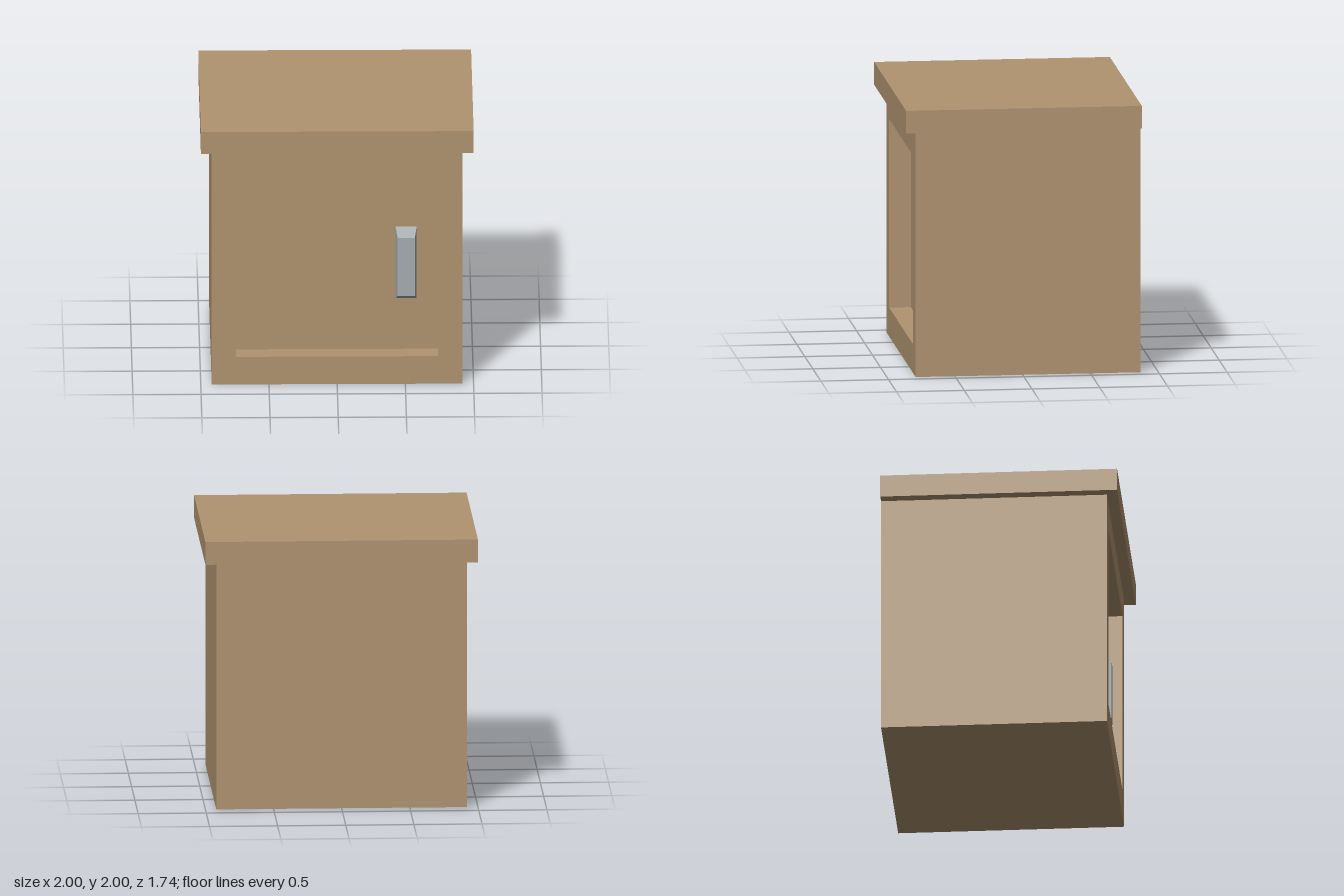
import * as THREE from 'three';

const wood = new THREE.MeshStandardMaterial({ color: 0xb09370 });
wood.name = 'wood';
const metal = new THREE.MeshStandardMaterial({ color: 0xa5acb0 });
metal.name = 'metal';

const BACK = -0.87, FRONT = 0.79, DOOR = 0.63; // z of back, frame front and recessed door
const HALF = 0.92, LID_Y = 1.83;

// Box given by its lower and upper corners
function box(name, material, [x0, y0, z0], [x1, y1, z1]) {
  const geometry = new THREE.BoxGeometry(x1 - x0, y1 - y0, z1 - z0);
  geometry.translate((x0 + x1) / 2, (y0 + y1) / 2, (z0 + z1) / 2);
  const mesh = new THREE.Mesh(geometry, material);
  mesh.name = name;
  return mesh;
}

function rectangle(PathType, x0, y0, x1, y1) {
  const path = new PathType();
  path.moveTo(x0, y0).lineTo(x1, y0).lineTo(x1, y1).lineTo(x0, y1).closePath();
  return path;
}

// Frame around the recessed door
function createFrame() {
  const shape = rectangle(THREE.Shape, -HALF, 0, HALF, LID_Y);
  shape.holes.push(rectangle(THREE.Path, -0.74, 0.215, 0.74, 1.62));
  const geometry = new THREE.ExtrudeGeometry(shape, { depth: FRONT - DOOR, bevelEnabled: false });
  geometry.translate(0, 0, DOOR);
  const mesh = new THREE.Mesh(geometry, wood);
  mesh.name = 'doorFrame';
  return mesh;
}

// Handle block that tapers towards its front
function createHandle() {
  const depth = 0.1;
  const geometry = new THREE.BoxGeometry(0.155, 0.56, depth);
  const position = geometry.attributes.position;
  for (let i = 0; i < position.count; i++) {
    if (position.getZ(i) > 0) {
      position.setX(i, position.getX(i) * 0.82);
      position.setY(i, position.getY(i) * 0.81);
    }
  }
  geometry.computeVertexNormals();
  const mesh = new THREE.Mesh(geometry, metal);
  mesh.name = 'doorHandle';
  mesh.position.set(0.507, 0.89, DOOR + depth / 2);
  return mesh;
}

export function createModel() {
  const group = new THREE.Group();
  group.name = 'cabinet';
  group.add(
    box('cabinetBody', wood, [-HALF, 0, BACK], [HALF, LID_Y, DOOR]),
    createFrame(),
    box('topSlab', wood, [-1, LID_Y, BACK], [1, 2, 0.87]),
    createHandle()
  );
  return group;
}
